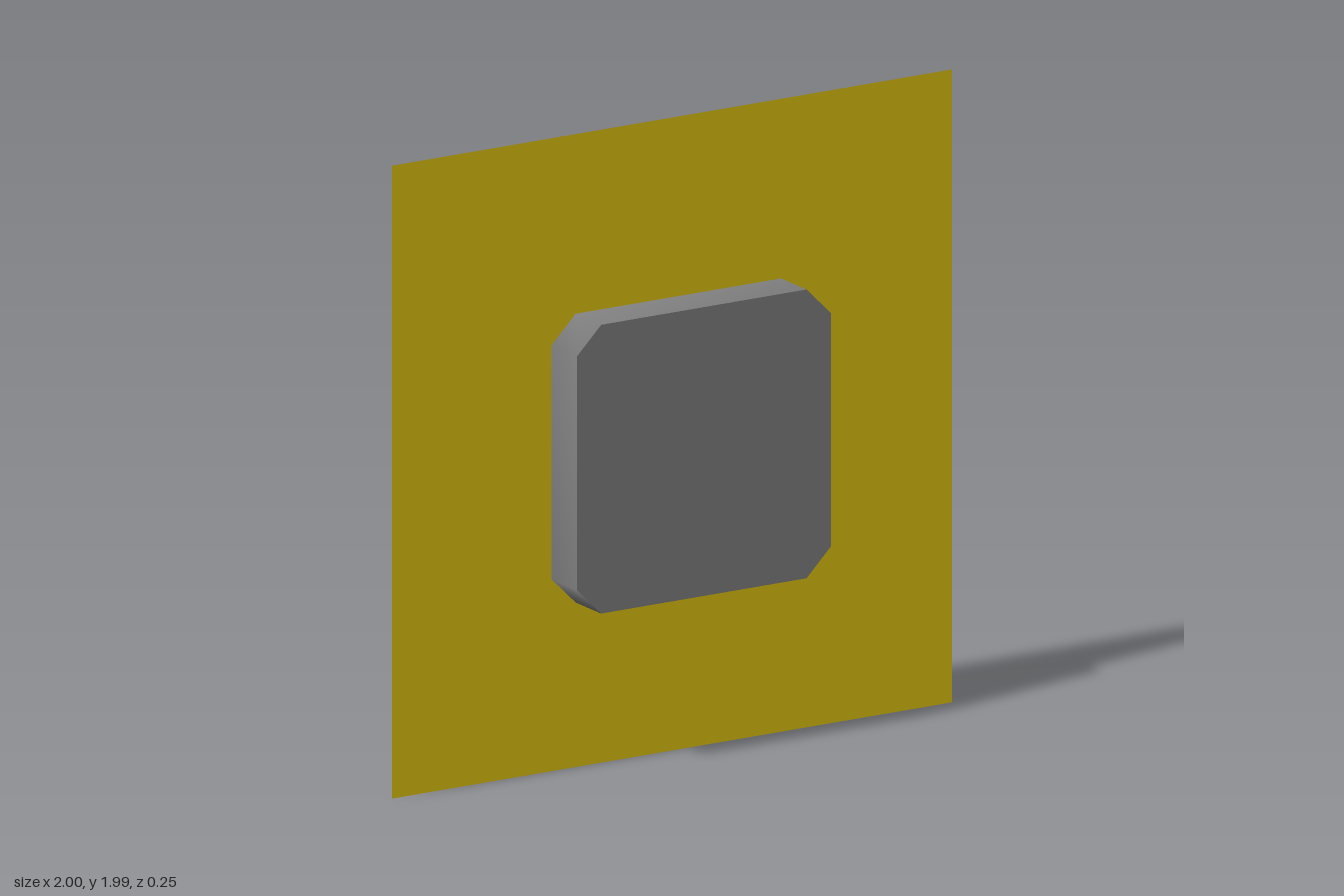
import * as THREE from 'three';

// Smooth closed wall around an outline (counter-clockwise from +z), front rim to back rim
function wall(outline, zFront, zBackOf) {
  const pos = [], idx = [], n = outline.length;
  outline.forEach((p, i) => {
    pos.push(p.x, p.y, zFront, p.x, p.y, zBackOf(i));
    const f = 2 * i, b = f + 1, f2 = 2 * ((i + 1) % n), b2 = f2 + 1;
    idx.push(f, b, f2, b, b2, f2);
  });
  const g = new THREE.BufferGeometry();
  g.setAttribute('position', new THREE.Float32BufferAttribute(pos, 3));
  g.setIndex(idx);
  g.computeVertexNormals();
  return g;
}

export function createModel() {
  const group = new THREE.Group();
  const yellow = new THREE.MeshStandardMaterial({ color: 0xe0c410, side: THREE.DoubleSide });
  yellow.name = 'yellow';
  const grey = new THREE.MeshStandardMaterial({ color: 0x808080, side: THREE.DoubleSide });
  grey.name = 'grey';

  const add = (parent, name, geometry, material, x, y, z) => {
    const mesh = new THREE.Mesh(geometry, material);
    mesh.name = name;
    mesh.position.set(x, y, z);
    parent.add(mesh);
    return mesh;
  };

  const cx = 0.01, cy = 0.978, front = 0.125, back = -0.02;

  // Thin backing sheet
  add(group, 'backingSheet', new THREE.PlaneGeometry(2, 1.99), yellow, 0, 0.995, -0.04);

  // Housing: square with clipped corners
  const h = 0.454, c = h - 0.087;
  const outline = [[h, -c], [h, c], [c, h], [-c, h], [-h, c], [-h, -c], [-c, -h], [c, -h]]
    .map(([x, y]) => new THREE.Vector2(x, y));
  const housing = new THREE.Group();
  housing.name = 'housing';
  group.add(housing);
  add(housing, 'housingSides', wall(outline, front, () => back), grey, cx, cy, 0);
  const face = new THREE.ShapeGeometry(new THREE.Shape(outline));
  add(housing, 'housingFront', face, grey, cx, cy, front);
  add(housing, 'housingBack', face, grey, cx, cy, back).rotation.y = Math.PI;

  // Nine-sided hoods, deepest at the top
  const ring = [], depths = [-0.125, -0.103, -0.048];
  for (let i = 0; i < 9; i++) {
    const a = Math.PI / 2 + i * Math.PI * 2 / 9;
    ring.push(new THREE.Vector2(0.13 * Math.cos(a), 0.13 * Math.sin(a)));
  }
  const hood = wall(ring, back, i => depths[Math.min(i, 9 - i)] ?? -0.045);

  // Four corner hoods and one in the middle
  const s = 0.303;
  for (const [i, j] of [[-1, 1], [1, 1], [0, 0], [-1, -1], [1, -1]]) {
    add(group, 'lampHood', hood, grey, cx + i * s, cy - 0.004 + j * s, 0);
  }
  return group;
}
